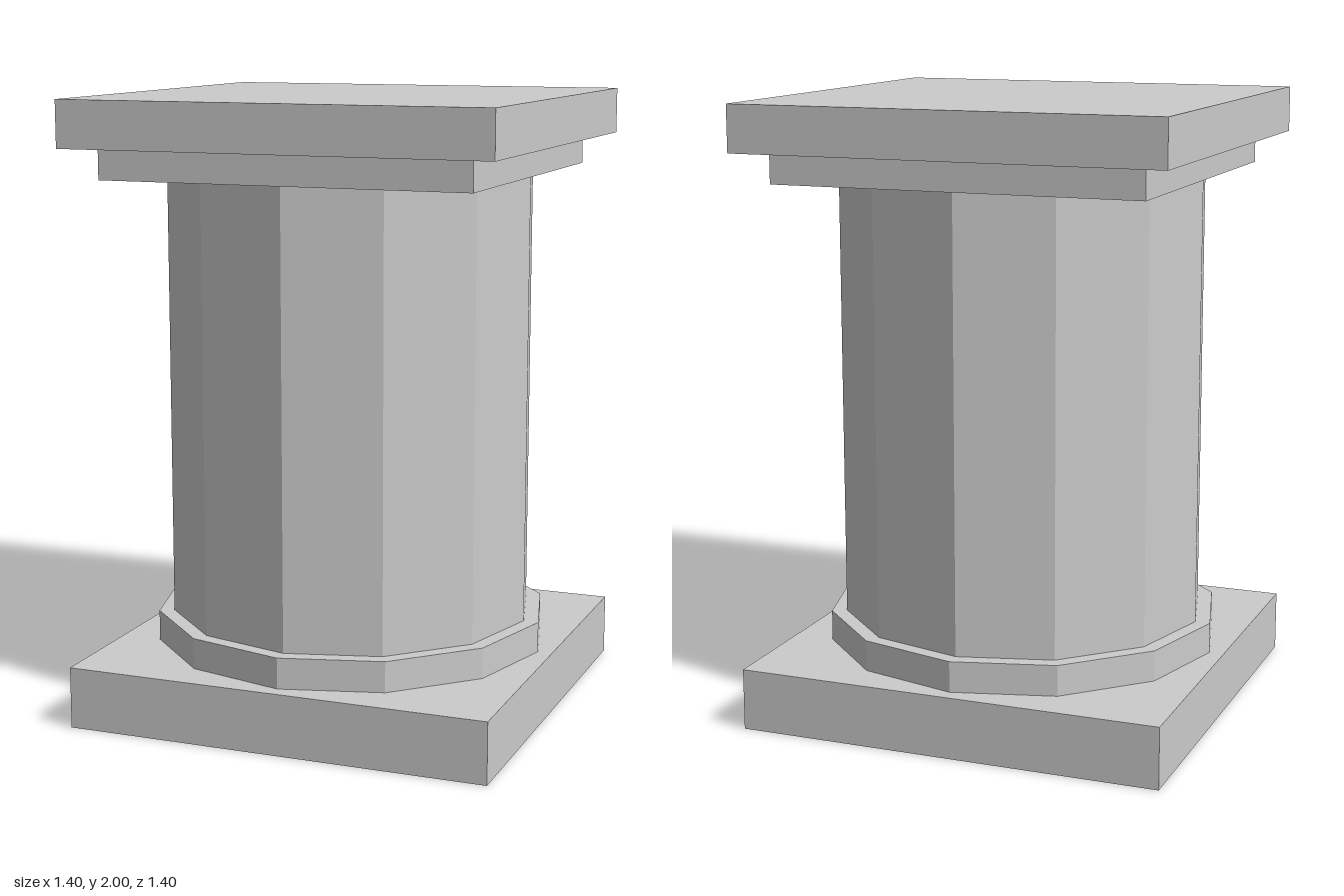
import * as THREE from 'three';

const SIDES = 12;
const PLINTH = 1.396; // width of the plinth and the abacus

export function createModel() {
  const model = new THREE.Group();
  const stone = new THREE.MeshStandardMaterial({ color: 0xcccccc, flatShading: true });
  const shell = stone.clone();
  shell.side = THREE.DoubleSide;

  const add = (name, geometry, y = 0, material = stone) => {
    const mesh = new THREE.Mesh(geometry, material);
    mesh.name = name;
    mesh.position.y = y;
    model.add(mesh);
    return mesh;
  };
  const slab = (name, width, bottom, top) =>
    add(name, new THREE.BoxGeometry(width, top - bottom, width), (bottom + top) / 2);
  const drum = (name, radius, bottom, top, open = false) =>
    add(name, new THREE.CylinderGeometry(radius, radius, top - bottom, SIDES, 1, open),
      (bottom + top) / 2, open ? shell : stone);

  // Plinth: four thin walls, open underneath
  const walls = new THREE.CylinderGeometry(PLINTH / Math.SQRT2, PLINTH / Math.SQRT2, 0.2, 4, 1, true);
  walls.rotateY(Math.PI / 4);
  add('plinthWalls', walls, 0.1, shell);

  // Plinth top with a twelve-sided opening under the shaft
  const h = PLINTH / 2;
  const top = new THREE.Shape([[-h, -h], [h, -h], [h, h], [-h, h]].map(([x, y]) => new THREE.Vector2(x, y)));
  const hole = Array.from({ length: SIDES }, (_, i) => {
    const a = (-i / SIDES) * Math.PI * 2;
    return new THREE.Vector2(0.6 * Math.cos(a), 0.6 * Math.sin(a));
  });
  top.holes.push(new THREE.Path(hole));
  add('plinthTop', new THREE.ShapeGeometry(top).rotateX(-Math.PI / 2), 0.2, shell);

  // Round base moulding with a shallow recess below the shaft
  drum('baseRecess', 0.6, 0.2, 0.22, true);
  drum('baseMoulding', 0.65, 0.2, 0.3, true);
  const ledge = new THREE.RingGeometry(0.6, 0.65, SIDES, 1).rotateX(-Math.PI / 2);
  add('baseLedge', ledge, 0.3, shell);

  // Faceted shaft
  drum('shaft', 0.6, 0.22, 1.75);

  // Stepped square capital
  slab('capitalNeck', 1.21, 1.75, 1.85);
  slab('abacus', PLINTH, 1.85, 2);

  return model;
}
